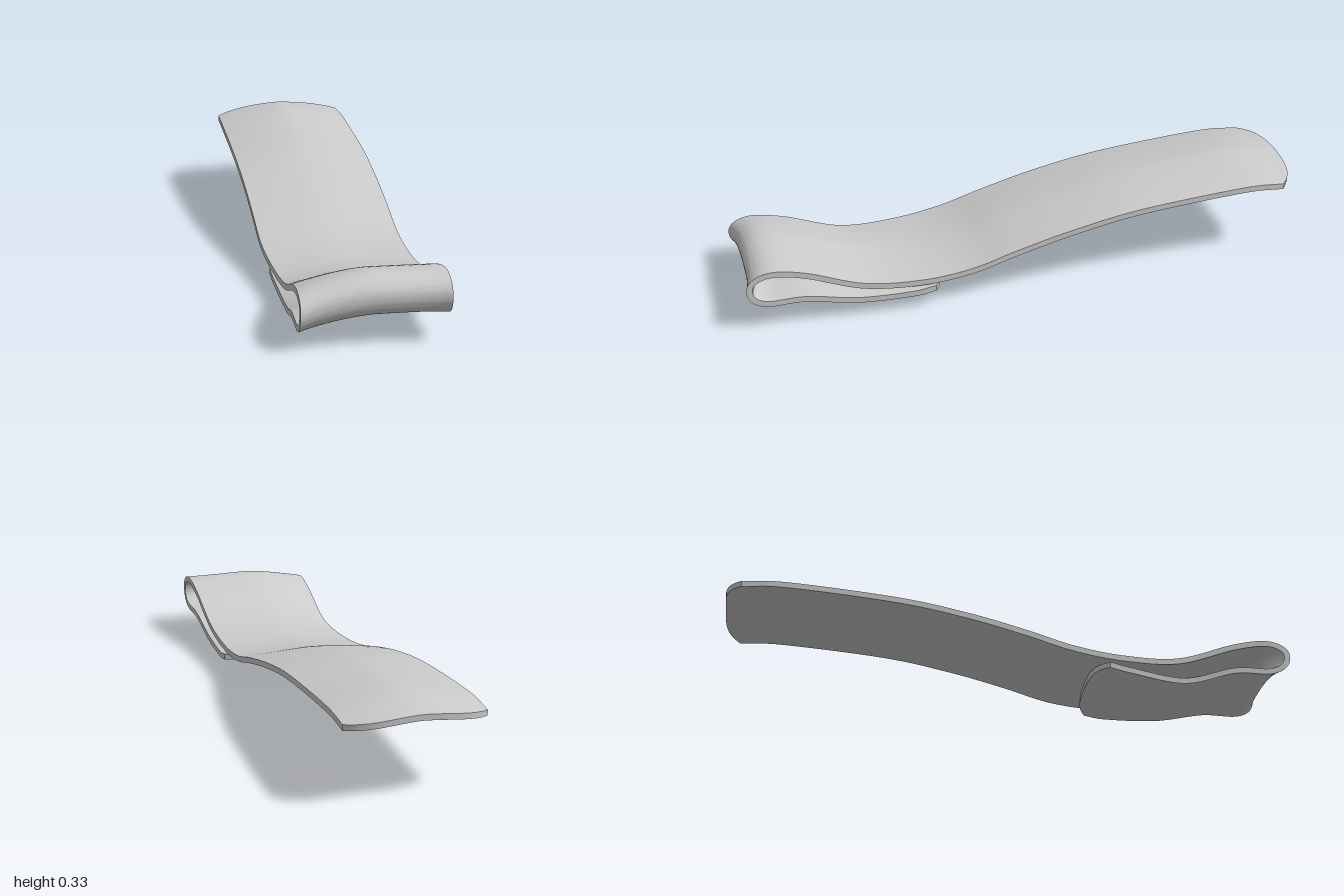
import * as THREE from 'three';
import { toCreasedNormals } from 'three/addons/utils/BufferGeometryUtils.js';

// Stations along the strip, back tip -> front loop -> tucked end:
// [z centre, z edge, y at -x edge, y centre, y at +x edge, -x edge, +x edge]
const STATIONS = [
  [-0.995, -0.94, 0.266, 0.300, 0.277, -0.25, 0.235],
  [-0.78, -0.78, 0.270, 0.315, 0.282, -0.255, 0.235],
  [-0.40, -0.40, 0.240, 0.277, 0.254, -0.255, 0.237],
  [-0.15, -0.15, 0.198, 0.227, 0.210, -0.253, 0.238],
  [0.05, 0.05, 0.148, 0.175, 0.160, -0.252, 0.238],
  [0.22, 0.22, 0.100, 0.123, 0.112, -0.25, 0.238],
  [0.40, 0.40, 0.078, 0.100, 0.096, -0.24, 0.238],
  [0.60, 0.60, 0.085, 0.121, 0.116, -0.23, 0.237],
  [0.80, 0.80, 0.150, 0.194, 0.190, -0.235, 0.237],
  [0.91, 0.92, 0.170, 0.214, 0.211, -0.24, 0.237],
  [0.97, 0.985, 0.145, 0.185, 0.182, -0.242, 0.237],
  [0.97, 0.985, 0.095, 0.130, 0.128, -0.244, 0.237],
  [0.92, 0.93, 0.062, 0.103, 0.100, -0.242, 0.238],
  [0.80, 0.80, 0.058, 0.105, 0.098, -0.238, 0.238],
  [0.62, 0.62, 0.012, 0.085, 0.064, -0.226, 0.240],
  [0.43, 0.43, 0.034, 0.081, 0.062, -0.236, 0.248],
  [0.31, 0.35, 0.050, 0.086, 0.074, -0.24, 0.250],
];
const THICKNESS = 0.021;
const LENGTH_STEPS = 128;
const WIDTH_STEPS = 20;

const curve = (pick) => new THREE.CatmullRomCurve3(
  STATIONS.map((s) => new THREE.Vector3(...pick(s))), false, 'catmullrom', 0.5);

function stripGeometry() {
  const centre = curve((s) => [0, s[3], s[0]]);
  const edges = {
    '-1': curve((s) => [s[5], s[2], s[1]]),
    '1': curve((s) => [s[6], s[4], s[1]]),
  };
  const positions = [];
  const index = [];
  const ring = 2 * (WIDTH_STEPS + 1);

  // Rings: outer face from -x to +x, then inner face back again
  for (let i = 0; i <= LENGTH_STEPS; i++) {
    const t = i / LENGTH_STEPS;
    const c = centre.getPoint(t);
    const tan = centre.getTangent(t);
    for (let j = 0; j < ring; j++) {
      const outer = j <= WIDTH_STEPS;
      const k = outer ? j : ring - 1 - j;
      const u = (2 * k) / WIDTH_STEPS - 1;
      const a = Math.abs(u);
      const e = edges[u < 0 ? -1 : 1].getPoint(t);
      const off = (outer ? 0.5 : -0.5) * THICKNESS;
      positions.push(
        e.x * a,
        THREE.MathUtils.lerp(c.y, e.y, a ** 1.5) + tan.z * off,
        THREE.MathUtils.lerp(c.z, e.z, a ** 4) - tan.y * off,
      );
    }
  }

  // Skin between neighbouring rings
  for (let i = 0; i < LENGTH_STEPS; i++) {
    for (let j = 0; j < ring; j++) {
      const a = i * ring + j;
      const b = i * ring + ((j + 1) % ring);
      index.push(a, a + ring, b, b, a + ring, b + ring);
    }
  }

  // Thin end faces
  const last = LENGTH_STEPS * ring;
  for (let j = 0; j < WIDTH_STEPS; j++) {
    const a = j, b = j + 1, c = ring - 2 - j, d = ring - 1 - j;
    index.push(a, b, c, a, c, d);
    index.push(last + a, last + c, last + b, last + a, last + d, last + c);
  }

  const geometry = new THREE.BufferGeometry();
  geometry.setAttribute('position', new THREE.Float32BufferAttribute(positions, 3));
  geometry.setIndex(index);
  return toCreasedNormals(geometry, Math.PI / 4);
}

export function createModel() {
  const group = new THREE.Group();
  group.name = 'foldedStrap';
  const strap = new THREE.Mesh(
    stripGeometry(),
    new THREE.MeshStandardMaterial({ color: 0xcccccc, side: THREE.DoubleSide }),
  );
  strap.name = 'loopedStrip';
  group.add(strap);
  return group;
}
